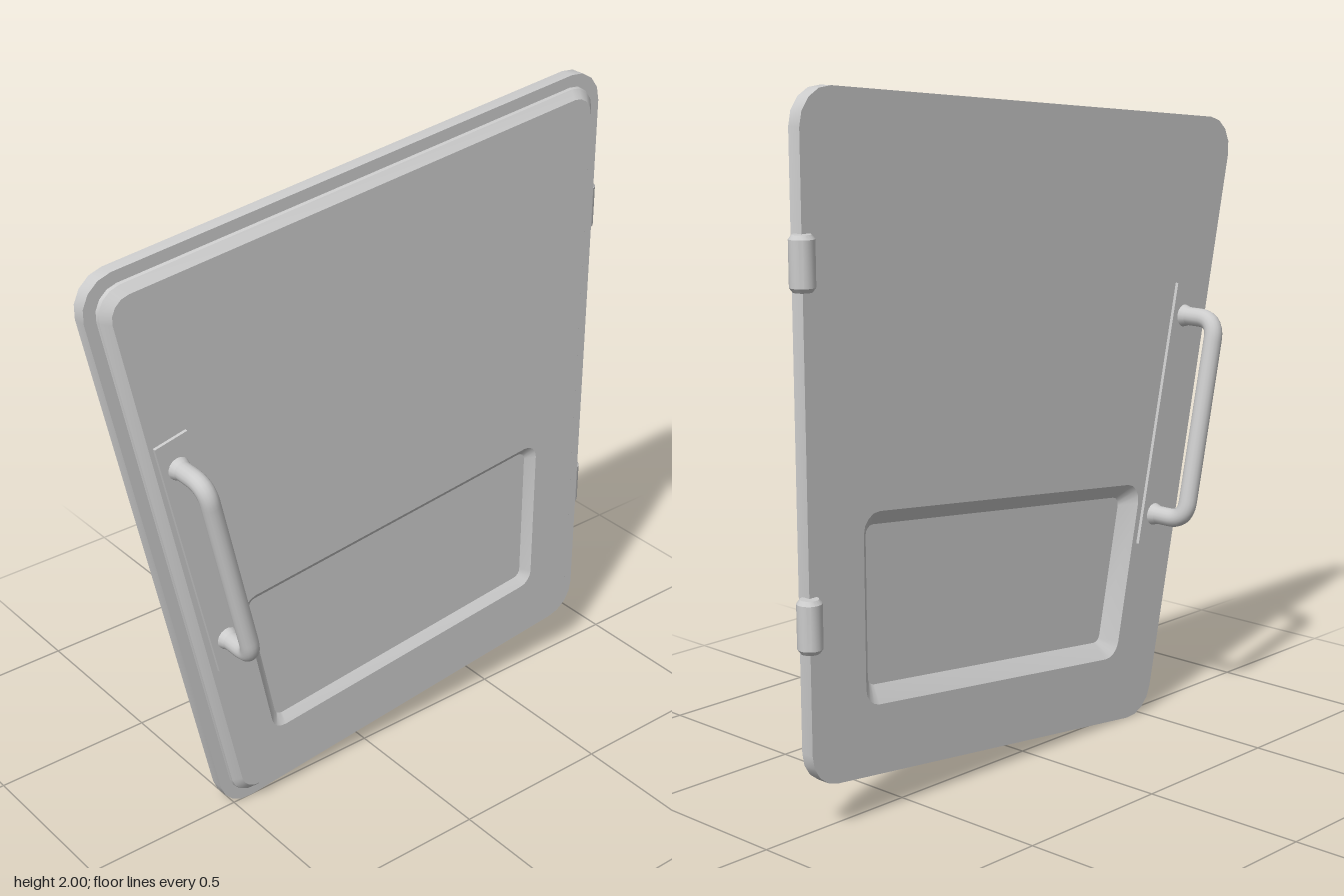
import * as THREE from 'three';
import { toCreasedNormals } from 'three/addons/utils/BufferGeometryUtils.js';

const material = new THREE.MeshStandardMaterial({ color: 0xcccccc, side: THREE.DoubleSide });
const ARC = 4; // segments per rounded corner

function addMesh(parent, name, geometry) {
  const mesh = new THREE.Mesh(geometry, material);
  mesh.name = name;
  parent.add(mesh);
  return mesh;
}

// Move every edge of a counter-clockwise polygon inwards (negative = outwards)
function inset(corners, d) {
  const n = corners.length;
  return corners.map((c, i) => {
    const a = c.clone().sub(corners[(i + n - 1) % n]).normalize();
    const b = corners[(i + 1) % n].clone().sub(c).normalize();
    return c.clone().addScaledVector(b.clone().sub(a), d / a.cross(b));
  });
}

// Outline with rounded corners at depth w
function roundedLoop(corners, radius, w) {
  const n = corners.length, centres = inset(corners, radius), loop = [];
  corners.forEach((c, i) => {
    const a = c.clone().sub(corners[(i + n - 1) % n]);
    const b = corners[(i + 1) % n].clone().sub(c);
    const start = a.angle() - Math.PI / 2;
    const turn = Math.acos(a.dot(b) / (a.length() * b.length()));
    for (let k = 0; k <= ARC; k++) {
      const t = start + turn * k / ARC;
      loop.push([centres[i].x + radius * Math.cos(t), centres[i].y + radius * Math.sin(t), w]);
    }
  });
  return loop;
}

// Skin a sequence of loops, closing both ends with a fan
function loft(loops) {
  const centre = (loop) => {
    const c = [0, 1, 2].map((k) => loop.reduce((s, p) => s + p[k], 0) / loop.length);
    return loop.map(() => c);
  };
  const rows = [centre(loops[0]), ...loops, centre(loops.at(-1))];
  const positions = [];
  for (let r = 0; r + 1 < rows.length; r++) {
    const a = rows[r], b = rows[r + 1];
    for (let i = 0; i < a.length; i++) {
      const j = (i + 1) % a.length;
      if (b[i] !== b[j]) positions.push(...a[i], ...b[i], ...b[j]);
      if (a[i] !== a[j]) positions.push(...a[i], ...b[j], ...a[j]);
    }
  }
  const geometry = new THREE.BufferGeometry();
  geometry.setAttribute('position', new THREE.Float32BufferAttribute(positions, 3));
  return toCreasedNormals(geometry, 0.5);
}

// Grab handle standing on its mounting plate, pointing along +z
function createHandle() {
  const group = new THREE.Group();
  const plate = addMesh(group, 'handlePlate', new THREE.BoxGeometry(0.107, 0.81, 0.02));

  const half = 0.31, reach = 0.132, bend = 0.06;
  const p = (y, z) => new THREE.Vector3(0, y, z);
  const path = new THREE.CurvePath();
  path.add(new THREE.LineCurve3(p(-half, 0), p(-half, reach - bend)));
  path.add(new THREE.QuadraticBezierCurve3(p(-half, reach - bend), p(-half, reach), p(bend - half, reach)));
  path.add(new THREE.LineCurve3(p(bend - half, reach), p(half - bend, reach)));
  path.add(new THREE.QuadraticBezierCurve3(p(half - bend, reach), p(half, reach), p(half, reach - bend)));
  path.add(new THREE.LineCurve3(p(half, reach - bend), p(half, 0)));
  addMesh(group, 'handleBar', new THREE.TubeGeometry(path, 72, 0.028, 16));

  for (const side of [-1, 1]) {
    const collar = addMesh(group, 'handleCollar', new THREE.CylinderGeometry(0.028, 0.035, 0.02, 16));
    collar.rotation.x = Math.PI / 2;
    collar.position.set(0, side * half, 0.018);
  }
  return group;
}

export function createModel() {
  const model = new THREE.Group();
  model.name = 'hatchDoor';

  // The door is drawn flat in x/y with its thickness along z, then turned to face sideways
  const door = new THREE.Group();
  door.name = 'door';
  door.rotation.y = Math.PI / 2;
  model.add(door);

  const points = (list) => list.map(([x, y]) => new THREE.Vector2(x, y));
  const outline = points([[-0.526, -0.012], [0.865, 0.14], [0.865, 2.009], [-0.92, 1.83]]);
  const pocket = points([[-0.345, 0.257], [0.622, 0.36], [0.622, 0.815], [-0.437, 0.7]]);

  // Panel: pocket floor, sloped pocket walls, raised face, flange, flat back, rear pocket
  addMesh(door, 'panel', loft([
    roundedLoop(pocket, 0.025, 0.012),
    roundedLoop(inset(pocket, -0.028), 0.045, 0.035),
    roundedLoop(inset(outline, 0.06), 0.06, 0.035),
    roundedLoop(inset(outline, 0.037), 0.075, 0.012),
    roundedLoop(inset(outline, 0.035), 0.075, 0.002),
    roundedLoop(outline, 0.1, 0.002),
    roundedLoop(outline, 0.1, -0.04),
    roundedLoop(inset(pocket, -0.045), 0.055, -0.04),
    roundedLoop(pocket, 0.025, 0.002),
  ]));

  // Handles on both faces, leaning with the slanted edge
  for (const side of [1, -1]) {
    const handle = createHandle();
    handle.name = side > 0 ? 'innerHandle' : 'outerHandle';
    handle.position.set(side > 0 ? -0.597 : -0.612, 0.938, side > 0 ? 0.035 : -0.04);
    handle.rotation.set(0, side > 0 ? 0 : Math.PI, side * 0.218);
    door.add(handle);
  }

  // Hinge knuckles with chamfered ends
  const knuckle = [[0, -0.074], [0.026, -0.074], [0.035, -0.062], [0.035, 0.062], [0.026, 0.074], [0, 0.074]];
  for (const y of [0.595, 1.555]) {
    const geometry = toCreasedNormals(new THREE.LatheGeometry(points(knuckle), 20), 0.5);
    addMesh(door, 'hinge', geometry).position.set(0.865, y, -0.04);
  }

  return model;
}
